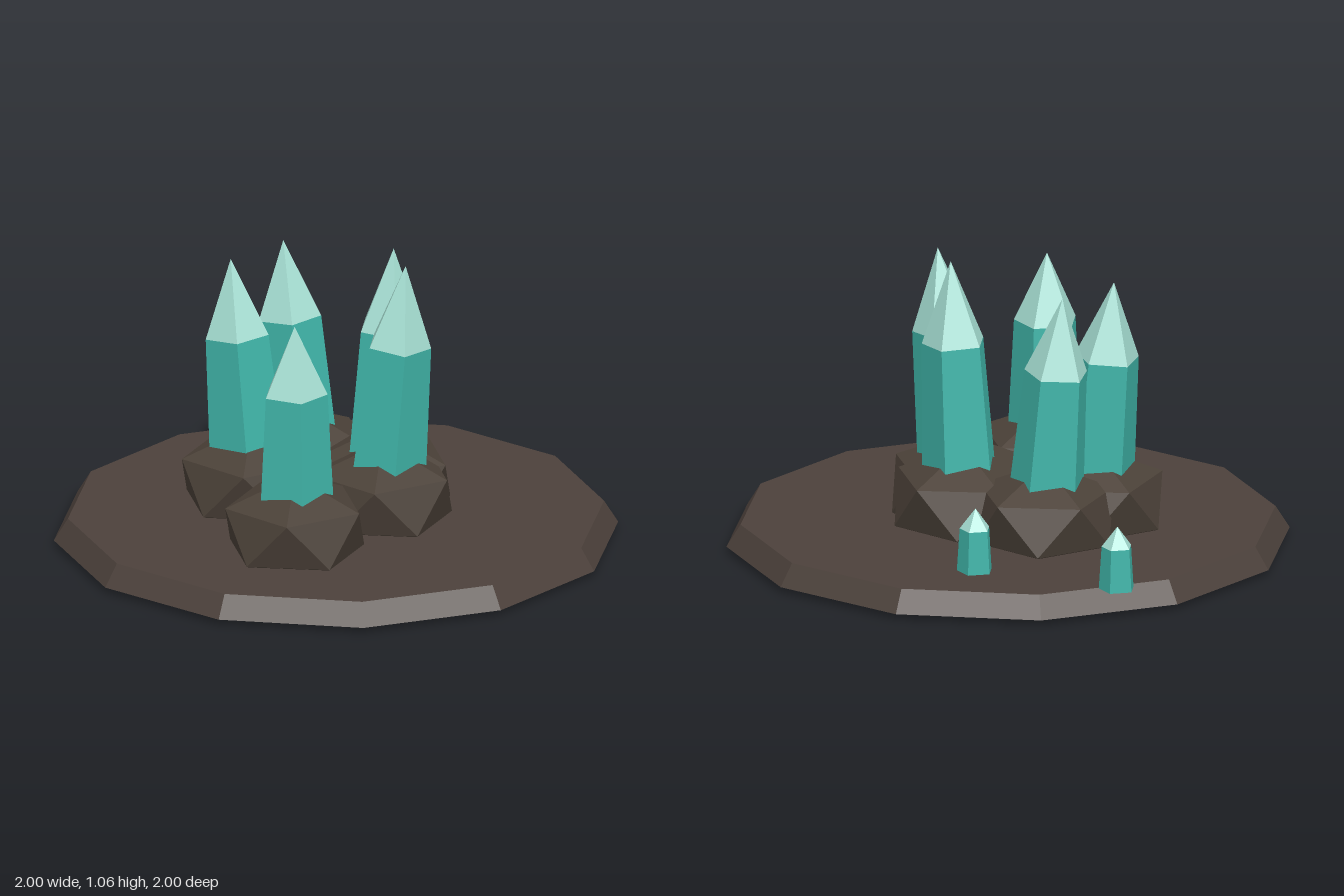
import * as THREE from 'three';
import { ConvexGeometry } from 'three/addons/geometries/ConvexGeometry.js';

const flat = (name, color) => {
  const m = new THREE.MeshStandardMaterial({ color, flatShading: true });
  m.name = name;
  return m;
};

const GROUND = 0.1; // top of the slab

// Squashed 20-sided stone: two poles and two staggered rings of five
function rockGeometry(radius, halfHeight) {
  const points = [new THREE.Vector3(0, halfHeight, 0), new THREE.Vector3(0, -halfHeight, 0)];
  for (let i = 0; i < 10; i++) {
    const a = (i * Math.PI) / 5;
    const y = (i % 2 ? -1 : 1) * halfHeight * 0.447;
    points.push(new THREE.Vector3(Math.cos(a) * radius, y, Math.sin(a) * radius));
  }
  return new ConvexGeometry(points);
}

export function createModel() {
  const model = new THREE.Group();
  model.name = 'crystalCluster';
  const slabStone = flat('slab stone', 0x4c413b);
  const rockStone = flat('rock stone', 0x4b4138);
  const teal = flat('crystal teal', 0x40b5a9);
  const paleTeal = flat('pale crystal tip', 0xa6dfd3);

  const add = (parent, name, geometry, material, y) => {
    const mesh = new THREE.Mesh(geometry, material);
    mesh.name = name;
    mesh.position.y = y;
    parent.add(mesh);
    return mesh;
  };

  // Twelve-sided slab with a sloping rim
  add(model, 'slab', new THREE.CylinderGeometry(0.95, 1, 0.08, 12), slabStone, 0.06);

  // Five-sided tapered column with a pointed tip, leaning by lean along x at its point
  function crystal(name, x, z, shoulder, tip, rBottom, rTop, lean = 0, turn = 0) {
    const group = new THREE.Group();
    group.name = name;
    const h = shoulder - GROUND;
    const body = new THREE.CylinderGeometry(rTop, rBottom, h, 5);
    const point = new THREE.ConeGeometry(rTop, tip - shoulder, 5, 1, true);
    add(group, 'crystalBody', body, teal, h / 2).rotation.y = Math.PI + turn;
    add(group, 'crystalTip', point, paleTeal, h + (tip - shoulder) / 2).rotation.y = Math.PI + turn;
    group.position.set(x, GROUND, z);
    group.rotation.z = -Math.atan(lean / (tip - GROUND));
    model.add(group);
  }

  // Large crystals, each growing out of its own rock: x, z, shoulder, tip, lean, turn
  const rock = rockGeometry(0.25, 0.19);
  [
    [-0.31, 0.04, 0.72, 1.0, -0.08, -0.2],
    [-0.23, -0.21, 0.72, 1.0, -0.07, -0.1],
    [0.04, 0.44, 0.69, 0.94, 0, 0],
    [0.11, -0.14, 0.76, 1.06, 0.05, 0],
    [0.18, 0, 0.76, 1.06, 0.09, 0],
  ].forEach(([x, z, shoulder, tip, lean, turn]) => {
    const stone = add(model, 'rock', rock, rockStone, 0.19);
    stone.position.x = x;
    stone.position.z = z;
    crystal('largeCrystal', x, z, shoulder, tip, 0.148, 0.117, lean, turn);
  });

  // Two small shoots at the back
  for (const x of [-0.7, -0.155]) crystal('smallCrystal', x, -0.65, 0.255, 0.33, 0.066, 0.056);

  return model;
}
